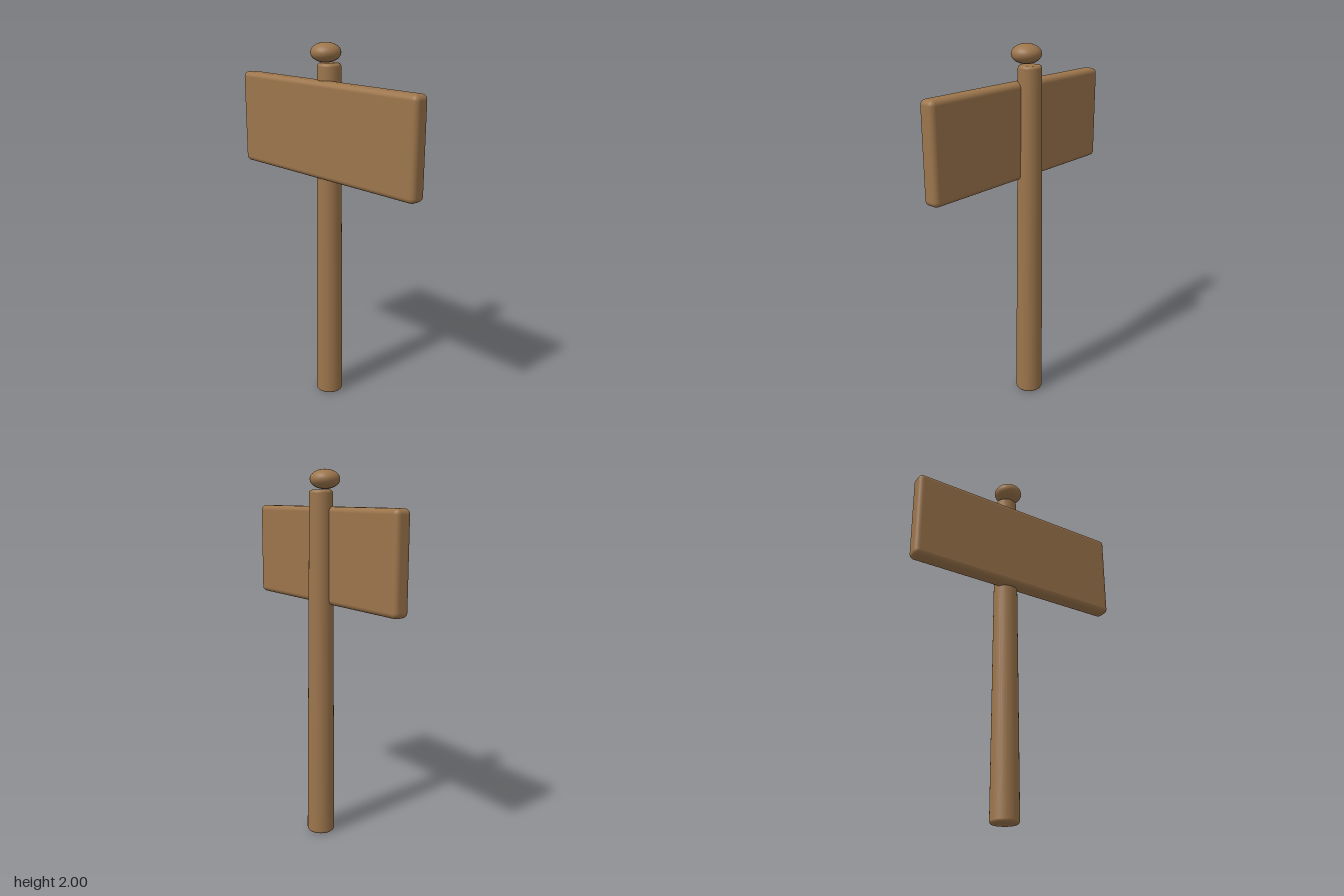
import * as THREE from 'three';
import { RoundedBoxGeometry } from 'three/addons/geometries/RoundedBoxGeometry.js';

export function createModel() {
  const group = new THREE.Group();
  group.name = 'signpost';
  const wood = new THREE.MeshStandardMaterial({ name: 'wood', color: 0x9c754c });

  const add = (name, geometry, x, y, z) => {
    const mesh = new THREE.Mesh(geometry, wood);
    mesh.name = name;
    mesh.position.set(x, y, z);
    group.add(mesh);
    return mesh;
  };

  // Tapered round post with softened ends
  const height = 1.895, bottom = 0.076, top = 0.062, bevel = 0.016;
  const profile = [new THREE.Vector2(0, 0)];
  const steps = 5;
  for (let i = 0; i <= steps; i++) {
    const a = (i / steps) * Math.PI / 2;
    profile.push(new THREE.Vector2(bottom - bevel * (1 - Math.sin(a)), bevel * (1 - Math.cos(a))));
  }
  for (let i = 0; i <= steps; i++) {
    const a = (i / steps) * Math.PI / 2;
    profile.push(new THREE.Vector2(top - bevel * (1 - Math.cos(a)), height - bevel * (1 - Math.sin(a))));
  }
  profile.push(new THREE.Vector2(0, height));
  add('post', new THREE.LatheGeometry(profile, 32), -0.03, 0, -0.014);

  // Flattened ball on top of the post
  const knob = add('knob', new THREE.SphereGeometry(1, 32, 20), -0.03, 1.949, 0.01);
  knob.scale.set(0.079, 0.051, 0.079);

  // Blank board with rounded edges, fixed to the front of the post
  add('board', new RoundedBoxGeometry(1.278, 0.51, 0.092, 5, 0.028), 0, 1.555, 0.039);

  return group;
}
